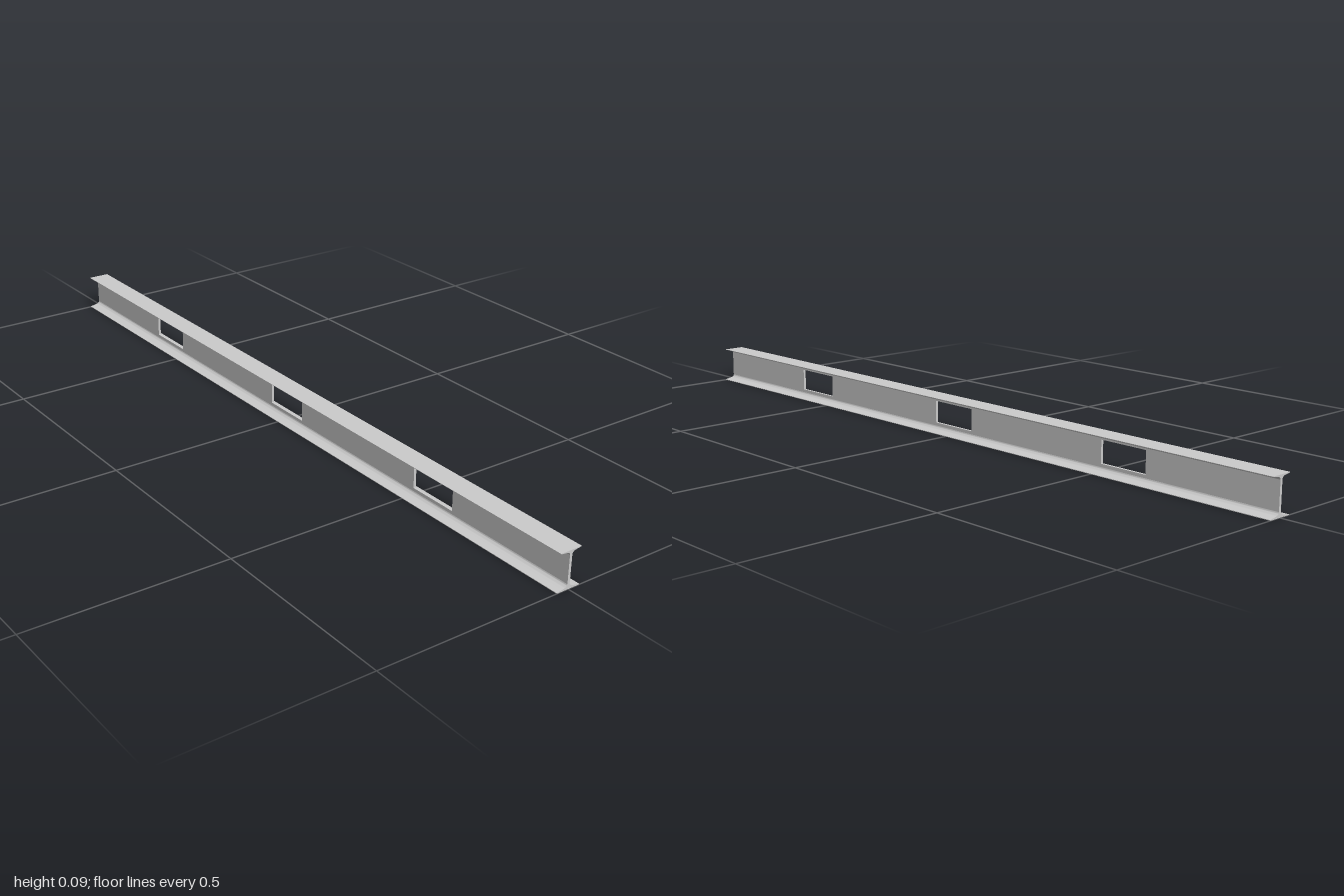
import * as THREE from 'three';
import { toCreasedNormals } from 'three/addons/utils/BufferGeometryUtils.js';

const LENGTH = 2, HEIGHT = 0.093, WEB = 0.0066;
const material = new THREE.MeshStandardMaterial({ color: 0xcccccc });

function addMesh(group, geometry, name) {
  const mesh = new THREE.Mesh(toCreasedNormals(geometry, 0.6), material);
  mesh.name = name;
  group.add(mesh);
}

// Tapered flange with a curved fillet running up into the web; base lies on y = 0
function flangeGeometry(halfWidth, tip, root, neck) {
  const w = WEB / 2;
  const shape = new THREE.Shape();
  shape.moveTo(-halfWidth, 0);
  shape.lineTo(halfWidth, 0);
  shape.lineTo(halfWidth, tip);
  shape.lineTo(0.011, root);
  shape.quadraticCurveTo(w + 0.001, root + 0.0015, w, neck);
  shape.lineTo(-w, neck);
  shape.quadraticCurveTo(-w - 0.001, root + 0.0015, -0.011, root);
  shape.lineTo(-halfWidth, tip);
  shape.closePath();
  return new THREE.ExtrudeGeometry(shape, { depth: LENGTH, bevelEnabled: false, curveSegments: 6 })
    .translate(0, 0, -LENGTH / 2)
    .rotateY(Math.PI / 2);
}

// Upright plate with rectangular windows
function webGeometry(bottom, top) {
  const rect = (path, x0, y0, x1, y1) => {
    path.moveTo(x0, y0);
    path.lineTo(x1, y0);
    path.lineTo(x1, y1);
    path.lineTo(x0, y1);
    path.closePath();
    return path;
  };
  const shape = rect(new THREE.Shape(), -LENGTH / 2, bottom, LENGTH / 2, top);
  for (const x of [-0.573, 0, 0.573]) {
    shape.holes.push(rect(new THREE.Path(), x - 0.067, 0.021, x + 0.067, 0.078));
  }
  return new THREE.ExtrudeGeometry(shape, { depth: WEB, bevelEnabled: false })
    .translate(0, 0, -WEB / 2);
}

export function createModel() {
  const group = new THREE.Group();
  group.name = 'slottedBeam';

  addMesh(group, flangeGeometry(0.032, 0.0015, 0.0055, 0.013), 'bottomFlange');
  addMesh(group, webGeometry(0.013, HEIGHT - 0.011), 'web');
  // Top flange is turned over so its fillet points down
  addMesh(group, flangeGeometry(0.029, 0.001, 0.0035, 0.011).rotateX(Math.PI).translate(0, HEIGHT, 0), 'topFlange');

  return group;
}
